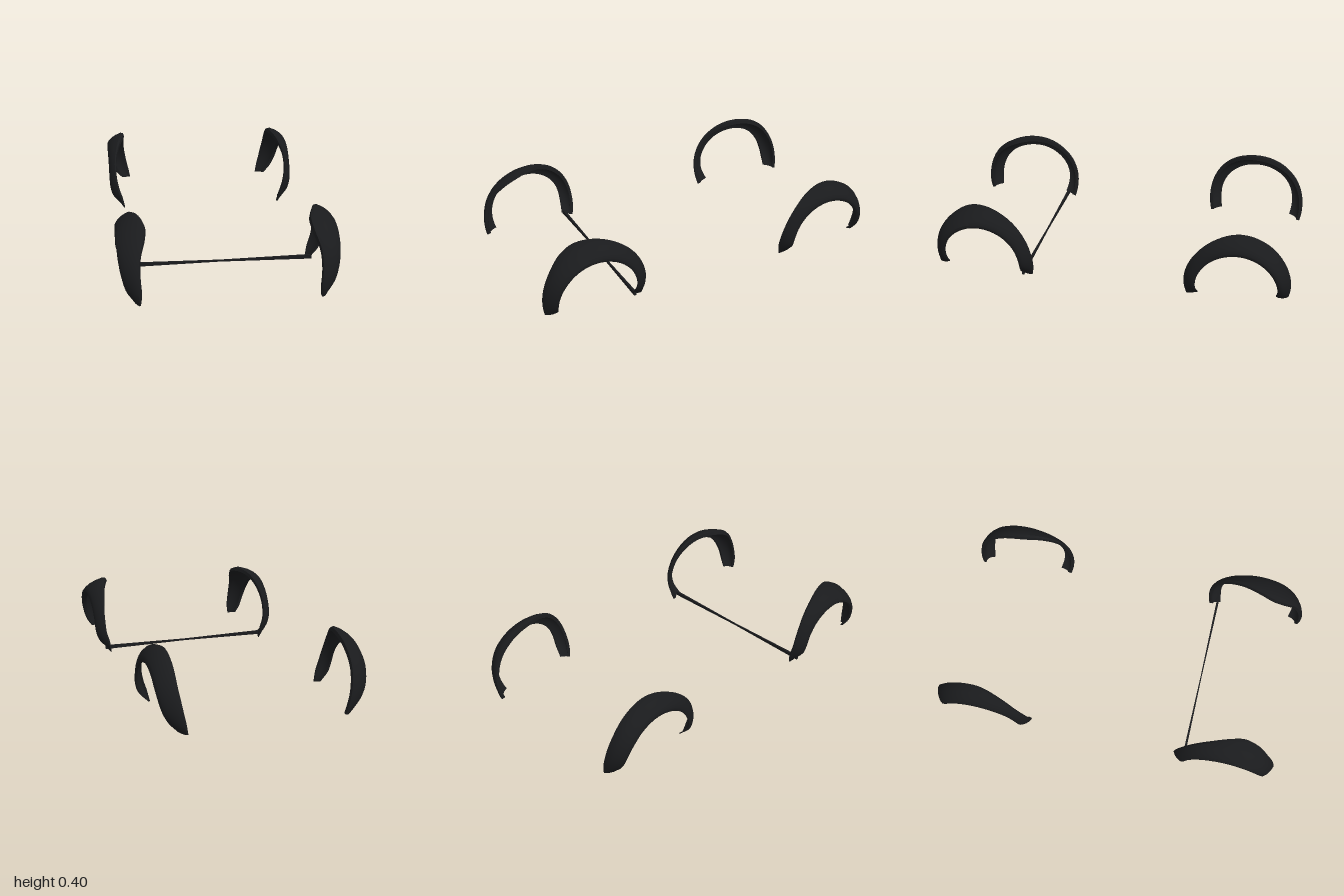
import * as THREE from 'three';
import { toCreasedNormals } from 'three/addons/utils/BufferGeometryUtils.js';

const V = (a, l, i) => new THREE.Vector3(a, l, i);

// Stations along each arch: angle in degrees, x of outer lip, x of inboard edge.
// Angle 0 points to the car's end, 90 is the top of the arch.
const FRONT = [
  V(-16, 0.50, 0.46), V(-5, 0.53, 0.455), V(15, 0.555, 0.46), V(35, 0.568, 0.455),
  V(55, 0.573, 0.43), V(72, 0.574, 0.423), V(90, 0.574, 0.446), V(110, 0.574, 0.478),
  V(130, 0.573, 0.50), V(150, 0.572, 0.513), V(172, 0.568, 0.51), V(186, 0.548, 0.492), V(199, 0.50, 0.482),
];
const REAR = [
  V(-16, 0.48, 0.425), V(-5, 0.52, 0.435), V(10, 0.55, 0.45), V(35, 0.57, 0.465),
  V(60, 0.573, 0.465), V(90, 0.574, 0.47), V(115, 0.574, 0.502), V(135, 0.573, 0.525),
  V(155, 0.572, 0.528), V(172, 0.568, 0.515), V(186, 0.55, 0.495), V(199, 0.50, 0.482),
];

// Closed section: [fraction inboard from lip, fraction of height from inner to outer radius]
const SECTION = [
  [0.06, 0], [0, 0.1], [0, 0.25], [0.1, 0.45], [0.27, 0.66], [0.5, 0.85], [0.8, 1], [0.95, 0.95],
  [1, 0.72], [0.9, 0.66], [0.75, 0.7], [0.5, 0.58], [0.35, 0.38], [0.26, 0.18], [0.24, 0],
];

// Sweeps the section round the wheel arch
function flareGeometry(stations, sx, sz) {
  const curve = new THREE.CatmullRomCurve3(stations);
  const steps = 60, n = SECTION.length, pos = [], idx = [];
  const flip = sx * sz < 0;
  const tri = (a, b, c) => (flip ? idx.push(a, c, b) : idx.push(a, b, c));
  for (let s = 0; s <= steps; s++) {
    const p = curve.getPoint(s / steps);
    const a = THREE.MathUtils.degToRad(p.x);
    const ri = 0.215 + 0.006 * Math.cos(a) ** 2;
    const ro = 0.288 + 0.015 * Math.sin(a) ** 2;
    for (const [u, h] of SECTION) {
      const r = ri + (ro - ri) * h;
      pos.push(sx * (p.y + (p.z - p.y) * u), 0.1 + r * Math.sin(a), sz * (0.713 + r * Math.cos(a)));
    }
  }
  for (let s = 0; s < steps; s++) {
    for (let k = 0; k < n; k++) {
      const a = s * n + k, b = s * n + (k + 1) % n;
      tri(a, b, a + n);
      tri(b, b + n, a + n);
    }
  }
  // End caps
  const contour = SECTION.map(([u, h]) => new THREE.Vector2(u, h));
  for (const [a, b, c] of THREE.ShapeUtils.triangulateShape(contour, [])) {
    tri(a, c, b);
    tri(a + steps * n, b + steps * n, c + steps * n);
  }
  const g = new THREE.BufferGeometry();
  g.setAttribute('position', new THREE.Float32BufferAttribute(pos, 3));
  g.setIndex(idx);
  return toCreasedNormals(g, 0.7);
}

export function createModel() {
  const model = new THREE.Group();
  const black = new THREE.MeshStandardMaterial({ color: 0x1a1b1d, side: THREE.DoubleSide });
  const add = (name, geometry) => {
    const mesh = new THREE.Mesh(geometry, black);
    mesh.name = name;
    model.add(mesh);
    return mesh;
  };

  // Four wheel arch flares
  for (const [side, sx] of [['Left', 1], ['Right', -1]]) {
    add('frontFlare' + side, flareGeometry(FRONT, sx, 1));
    add('rearFlare' + side, flareGeometry(REAR, sx, -1));
  }

  // Thin cross bar, slimmer towards the middle
  const bar = new THREE.BoxGeometry(1.02, 0.022, 0.014, 8, 1, 1);
  const p = bar.attributes.position;
  for (let i = 0; i < p.count; i++) {
    const k = 0.45 + 0.55 * Math.abs(p.getX(i)) / 0.51;
    p.setY(i, p.getY(i) * k);
    p.setZ(i, p.getZ(i) * k);
  }
  bar.computeVertexNormals();
  add('crossBar', bar).position.set(0, 0.025, 0.487);

  return model;
}
